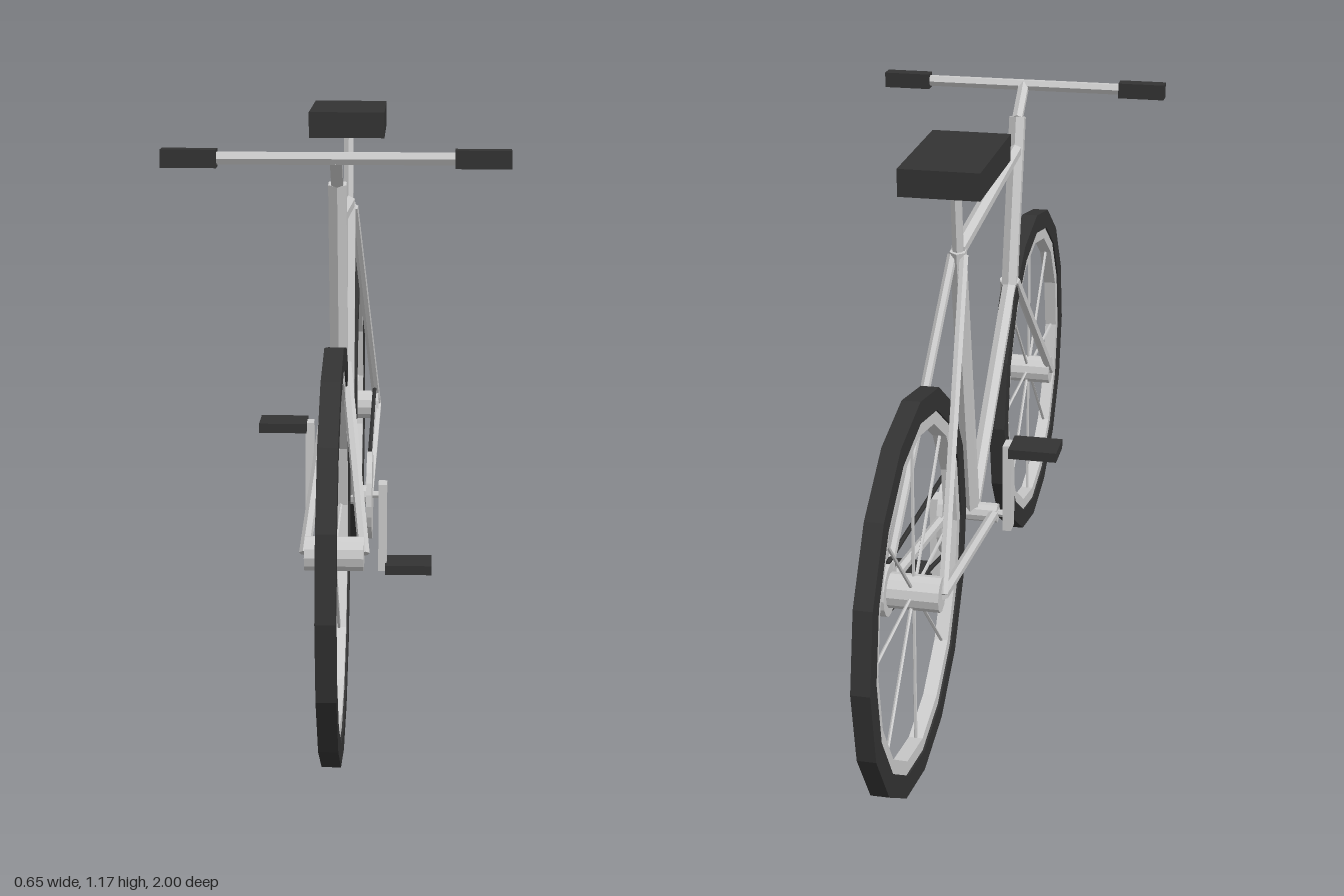
import * as THREE from 'three';

const metal = new THREE.MeshStandardMaterial({ color: 0xcccccc, flatShading: true });
const dark = new THREE.MeshStandardMaterial({ color: 0x333333, flatShading: true });
const V = (x, y, z) => new THREE.Vector3(x, y, z);

export function createModel() {
  const bike = new THREE.Group();
  bike.name = 'bicycle';

  const add = (name, geometry, material = metal, parent = bike) => {
    const mesh = new THREE.Mesh(geometry, material);
    mesh.name = name;
    parent.add(mesh);
    return mesh;
  };

  // Straight tube between two points
  const tube = (name, a, b, r, material = metal, sides = 6, parent = bike) => {
    const mesh = add(name, new THREE.CylinderGeometry(r, r, a.distanceTo(b), sides), material, parent);
    mesh.position.copy(a).lerp(b, 0.5);
    mesh.quaternion.setFromUnitVectors(V(0, 1, 0), b.clone().sub(a).normalize());
    return mesh;
  };

  const box = (name, x, y, z, w, h, d, material = metal) => {
    const mesh = add(name, new THREE.BoxGeometry(w, h, d), material);
    mesh.position.set(x, y, z);
    return mesh;
  };

  // Ring of rectangular section, axis along x
  const ring = (name, inner, outer, half, material, parent) => {
    const profile = [[outer, -half], [outer, half], [inner, half], [inner, -half], [outer, -half]]
      .map(([x, y]) => new THREE.Vector2(x, y));
    const mesh = add(name, new THREE.LatheGeometry(profile, 16), material, parent);
    mesh.rotation.z = Math.PI / 2;
    return mesh;
  };

  // Wheels: tyre, rim, hub and eight spokes
  const wheel = (name, z, hubRadius) => {
    const group = new THREE.Group();
    group.name = name;
    group.position.set(0, 0.396, z);
    bike.add(group);
    ring('tyre', 0.352, 0.396, 0.018, dark, group);
    ring('rim', 0.325, 0.354, 0.014, metal, group);
    tube('hub', V(-0.056, 0, 0), V(0.056, 0, 0), hubRadius, metal, 12, group);
    for (let i = 0; i < 8; i++) {
      const a = (i * Math.PI) / 4;
      tube('spoke', V(0, 0, 0), V(0, 0.335 * Math.cos(a), 0.335 * Math.sin(a)), 0.0035, metal, 5, group);
    }
  };
  wheel('frontWheel', 0.605, 0.033);
  wheel('rearWheel', -0.605, 0.035);

  // Main frame
  const bracket = V(0, 0.318, -0.067);
  const seatJoint = V(0, 0.955, -0.197);
  const headTop = V(0, 1.075, 0.437);
  const headBottom = V(0, 0.7, 0.355);
  tube('headTube', headBottom, headTop, 0.02);
  tube('topTube', V(0, 1.003, 0.42), seatJoint, 0.016);
  tube('downTube', headBottom, bracket, 0.017);
  tube('seatTube', bracket, seatJoint, 0.018);
  tube('seatPost', seatJoint, V(0, 1.13, -0.222), 0.012);
  tube('bottomBracket', V(-0.058, 0.318, -0.067), V(0.058, 0.318, -0.067), 0.021, metal, 10);

  // Fork and rear stays, mirrored
  for (const s of [-1, 1]) {
    tube('forkBlade', V(s * 0.013, 0.71, 0.355), V(s * 0.056, 0.396, 0.605), 0.011);
    tube('seatStay', V(s * 0.012, 0.945, -0.197), V(s * 0.058, 0.396, -0.605), 0.01);
    tube('chainStay', V(s * 0.05, 0.318, -0.067), V(s * 0.058, 0.396, -0.605), 0.011);
  }

  // Drive train
  tube('chainring', V(0.046, 0.318, -0.067), V(0.058, 0.318, -0.067), 0.098, metal, 24);
  tube('rearSprocket', V(0.046, 0.396, -0.605), V(0.062, 0.396, -0.605), 0.053, metal, 16);
  tube('upperChain', V(0.052, 0.417, -0.075), V(0.052, 0.449, -0.6), 0.005, dark);
  tube('lowerChain', V(0.052, 0.226, -0.1), V(0.052, 0.346, -0.6), 0.005, dark);
  tube('crankAxle', V(-0.08, 0.318, -0.067), V(0.08, 0.318, -0.067), 0.008);

  // Cranks and pedals, one down and one up
  for (const s of [-1, 1]) {
    box('crank', s * 0.081, 0.316 - s * 0.07, -0.067, 0.019, 0.2, 0.038);
    box('pedal', s * 0.139, 0.316 - s * 0.162, -0.068, 0.104, 0.021, 0.08, dark);
  }

  // Seat
  box('seat', 0, 1.138, -0.217, 0.162, 0.055, 0.302, dark);

  // Stem, handlebar and grips
  tube('stem', V(0, 1.07, 0.436), V(0, 1.131, 0.514), 0.013);
  tube('handlebar', V(-0.324, 1.131, 0.514), V(0.324, 1.131, 0.514), 0.013);
  for (const s of [-1, 1]) {
    box('grip', s * 0.273, 1.131, 0.514, 0.104, 0.034, 0.034, dark);
  }
  return bike;
}
